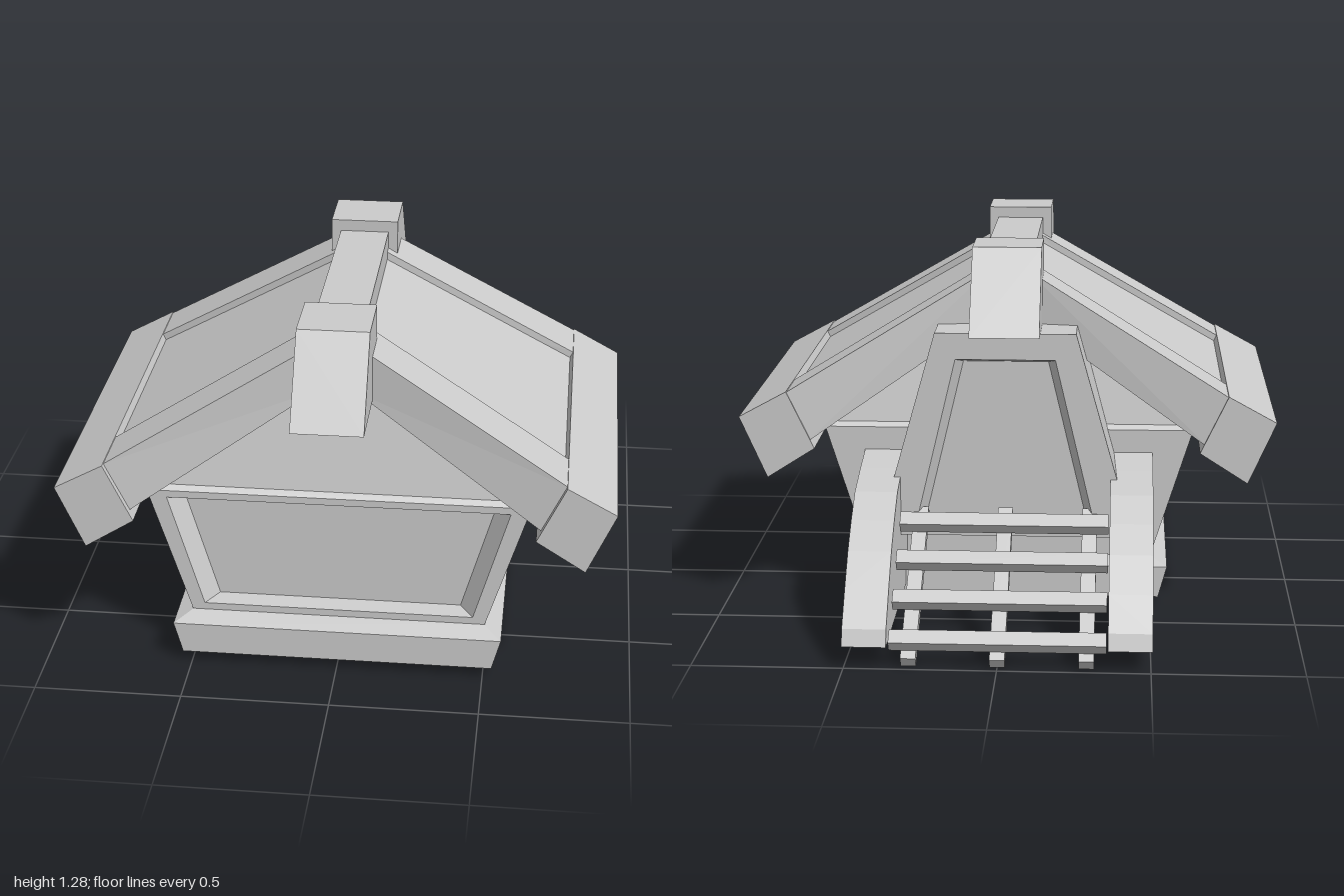
import * as THREE from 'three';

const material = new THREE.MeshStandardMaterial({ color: 0xcccccc, flatShading: true, side: THREE.DoubleSide });

// Skin a list of closed rings of [x, y, z] points; caps are fans.
function loft(rings, capStart = true, capEnd = true) {
  const pos = [];
  const tri = (a, b, c) => pos.push(...a, ...b, ...c);
  const n = rings[0].length;
  for (let r = 0; r < rings.length - 1; r++) {
    const a = rings[r], b = rings[r + 1];
    for (let i = 0; i < n; i++) {
      const j = (i + 1) % n;
      tri(a[i], a[j], b[j]);
      tri(a[i], b[j], b[i]);
    }
  }
  const first = rings[0], last = rings[rings.length - 1];
  for (let i = 1; i < n - 1; i++) {
    if (capStart) tri(first[0], first[i + 1], first[i]);
    if (capEnd) tri(last[0], last[i], last[i + 1]);
  }
  const g = new THREE.BufferGeometry();
  g.setAttribute('position', new THREE.Float32BufferAttribute(pos, 3));
  g.computeVertexNormals();
  return g;
}

// Horizontal rectangle ring
const rect = (y, hx, zBack, zFront) => [[-hx, y, zFront], [hx, y, zFront], [hx, y, zBack], [-hx, y, zBack]];
// Prism along x from a [z, y] profile
const prismX = (x0, x1, profile) => loft([x0, x1].map(x => profile.map(([z, y]) => [x, y, z])));
// Symmetric trapezoid in the xy plane
const trapezoid = (y0, h0, y1, h1) => [[-h0, y0], [h0, y0], [h1, y1], [-h1, y1]];

function add(parent, name, geometry) {
  const mesh = new THREE.Mesh(geometry, material);
  mesh.name = name;
  parent.add(mesh);
  return mesh;
}

// Flat frame at z with a splayed recess ending in a panel at zPanel
function addRecessedWall(parent, name, outer, hole, panel, z, zPanel) {
  const toVec = pts => pts.map(p => new THREE.Vector2(...p));
  const shape = new THREE.Shape(toVec(outer));
  shape.holes.push(new THREE.Path(toVec(hole)));
  const frame = new THREE.ShapeGeometry(shape);
  if (zPanel > z) frame.scale(-1, 1, 1).rotateY(0);
  frame.translate(0, 0, z);
  add(parent, name + 'Frame', frame);
  add(parent, name + 'Panel', loft([hole.map(p => [...p, z]), panel.map(p => [...p, zPanel])], false, true));
}

export function createModel() {
  const model = new THREE.Group();
  model.name = 'cabin';

  // Hollow plinth
  add(model, 'plinth', loft([
    rect(0.17, 0.46, -0.24, 0.68), rect(0.04, 0.46, -0.24, 0.68), rect(0.04, 0.53, -0.335, 0.78),
    rect(0.15, 0.56, -0.335, 0.78), rect(0.175, 0.5, -0.275, 0.717),
  ], false, false));

  // Walls flare outwards, then close in under the roof; the front is added separately
  const body = new THREE.Group();
  body.name = 'body';
  model.add(body);
  for (const s of [1, -1]) {
    add(body, 'sideWall', loft([
      [[s * 0.5, 0.17, 0.717], [s * 0.5, 0.17, -0.275]],
      [[s * 0.645, 0.63, 0.717], [s * 0.645, 0.63, -0.275]],
    ], false, false));
  }
  add(body, 'backWall', loft([
    [[-0.5, 0.17, -0.275], [0.5, 0.17, -0.275]],
    [[-0.645, 0.63, -0.275], [0.645, 0.63, -0.275]],
  ], false, false));
  add(body, 'gables', loft([
    rect(0.63, 0.645, -0.275, 0.717), rect(0.645, 0.62, -0.255, 0.697), rect(1.01, 0.1, -0.18, 0.62),
  ], false, true));
  addRecessedWall(body, 'front', trapezoid(0.17, 0.5, 0.63, 0.645),
    trapezoid(0.2, 0.46, 0.605, 0.578), trapezoid(0.212, 0.415, 0.592, 0.525), 0.717, 0.66);

  // Roof: sunken middle sheet, raised rake boards and eave beam, mirrored
  for (const s of [1, -1]) {
    const side = new THREE.Group();
    side.name = s > 0 ? 'leftRoof' : 'rightRoof';
    side.scale.x = s;
    model.add(side);
    // Board given z limits at the ridge and at the eave
    const board = (ridgeA, ridgeB, eaveA, eaveB, drop, lift) => loft([
      [[0.06, 1.2 - drop, ridgeA], [0.06, 1.2 - drop, ridgeB], [0.06, 1.035 + lift, ridgeB], [0.06, 1.035 + lift, ridgeA]],
      [[0.76, 0.782 - drop, eaveA], [0.76, 0.782 - drop, eaveB], [0.7, 0.6 + lift, eaveB], [0.7, 0.6 + lift, eaveA]],
    ]);
    add(side, 'roofSheet', board(-0.13, 0.56, -0.22, 0.65, 0.028, 0.03));
    add(side, 'frontRake', board(0.725, 0.54, 0.835, 0.64, 0, 0));
    add(side, 'backRake', board(-0.11, -0.295, -0.21, -0.41, 0, 0));
    const eave = [[0.925, 0.695], [0.76, 0.785], [0.665, 0.585], [0.83, 0.48]];
    add(side, 'eaveBeam', loft([0.855, -0.415].map(z => eave.map(p => [...p, z]))));
  }

  // Ridge beam and its slanted end blocks
  add(model, 'ridgeBeam', new THREE.BoxGeometry(0.17, 0.235, 0.8)).position.set(0, 1.1275, 0.22);
  add(model, 'frontRidgeBlock', prismX(-0.118, 0.118, [[0.59, 1.285], [0.81, 1.285], [1, 1.01], [0.59, 1.01]]));
  add(model, 'backRidgeBlock', prismX(-0.118, 0.118, [[-0.155, 1.285], [-0.36, 1.285], [-0.56, 1.01], [-0.155, 1.01]]));

  // Tapered doorway at the back
  const porch = new THREE.Group();
  porch.name = 'porch';
  model.add(porch);
  const door = trapezoid(0.3, 0.44, 1.01, 0.24);
  const [zWall, zFace] = [-0.15, -0.48];
  for (const s of [1, -1]) {
    add(porch, 'porchSide', loft([zWall, zFace].map(z => [[s * 0.44, 0.3, z], [s * 0.24, 1.01, z]]), false, false));
  }
  add(porch, 'porchTop', new THREE.PlaneGeometry(0.48, 0.33).rotateX(-Math.PI / 2)).position.set(0, 1.01, -0.315);
  add(porch, 'porchFloor', new THREE.PlaneGeometry(0.88, 0.2).rotateX(-Math.PI / 2)).position.set(0, 0.3, -0.38);
  addRecessedWall(porch, 'door', door, trapezoid(0.33, 0.31, 0.92, 0.17),
    trapezoid(0.34, 0.28, 0.905, 0.145), zFace, zFace + 0.05);

  // Curved cheek walls beside the ramp
  const cheek = [[-0.27, 0.075], [-0.27, 0.55], [-0.42, 0.52], [-0.58, 0.48], [-0.69, 0.412],
    [-0.79, 0.335], [-0.89, 0.232], [-0.98, 0.13], [-1, 0.075]];
  for (const s of [1, -1]) add(porch, 'cheekWall', prismX(s * 0.36, s * 0.505, cheek));

  // Slatted ramp: local -z runs down the slope, origin at the foot
  const ramp = new THREE.Group();
  ramp.name = 'ramp';
  ramp.position.set(0, 0.002, -0.967);
  ramp.rotation.x = -0.6;
  model.add(ramp);
  for (const x of [-0.29, 0, 0.29]) {
    add(ramp, 'rampRail', new THREE.BoxGeometry(0.05, 0.04, 0.64)).position.set(x, 0.02, 0.32);
  }
  for (let i = 0; i < 4; i++) {
    add(ramp, 'rampSlat', new THREE.BoxGeometry(0.71, 0.04, 0.055)).position.set(0, 0.06, 0.06 + i * 0.165);
  }
  return model;
}
